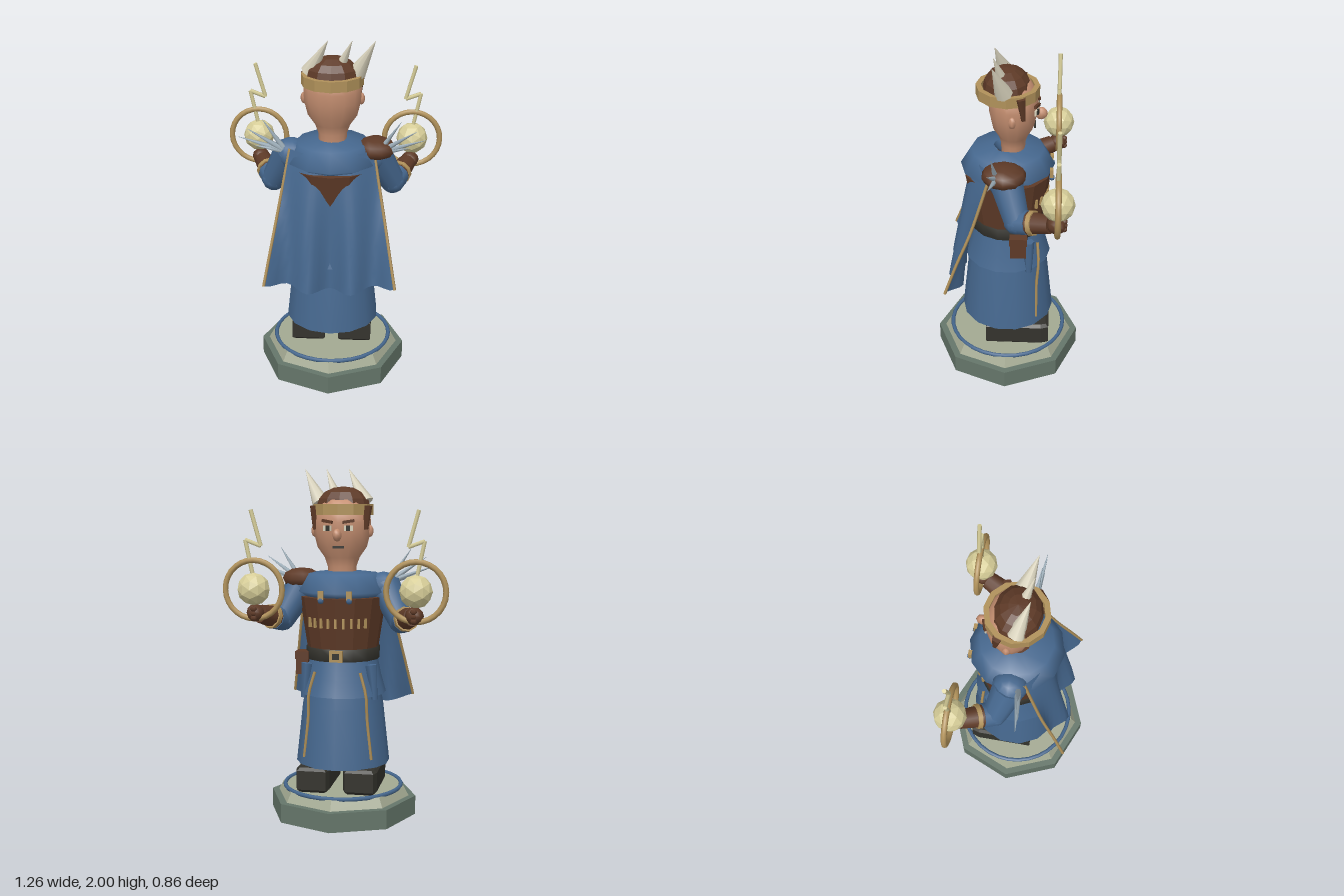
import * as THREE from 'three';

const mat = (name, color) => Object.assign(new THREE.MeshStandardMaterial({ color }), { name });
const blue = mat('blue cloth', 0x46688f);
blue.side = THREE.DoubleSide;
const brown = mat('brown leather', 0x5e3a27), skin = mat('skin', 0xc48e70);
const gold = mat('gold', 0xb0915a), cream = mat('pale glow', 0xd6cd98);
const bone = mat('bone', 0xd8d2bc), silver = mat('silver', 0x9fb0bb);
const dark = mat('dark leather', 0x34332d), stone = mat('stone', 0x65766a);
const paleStone = mat('pale stone', 0xa3a992);

const V = (x, y, z) => new THREE.Vector3(x, y, z);
const flat = (g) => {
  const f = g.index ? g.toNonIndexed() : g;
  f.computeVertexNormals();
  return f;
};

export function createModel() {
  const root = new THREE.Group();
  const add = (name, geo, material, x = 0, y = 0, z = 0) => {
    const m = new THREE.Mesh(geo, material);
    m.name = name;
    m.position.set(x, y, z);
    root.add(m);
    return m;
  };
  const box = (name, w, h, d, material, x, y, z) => add(name, new THREE.BoxGeometry(w, h, d), material, x, y, z);
  // Tapered rod from a (radius ra) to b (radius rb)
  const rod = (name, a, b, ra, rb, material, seg = 8) => {
    const m = add(name, new THREE.CylinderGeometry(rb, ra, a.distanceTo(b), seg), material);
    m.position.copy(a).lerp(b, 0.5);
    m.quaternion.setFromUnitVectors(V(0, 1, 0), b.clone().sub(a).normalize());
    return m;
  };
  const ball = (name, rx, ry, rz, material, x, y, z, w = 10, h = 7) => {
    const m = add(name, new THREE.SphereGeometry(1, w, h), material, x, y, z);
    m.scale.set(rx, ry, rz);
    return m;
  };
  const lathe = (name, pts, material, seg = 14) =>
    add(name, new THREE.LatheGeometry(pts.map((p) => new THREE.Vector2(...p)), seg), material);

  // Octagonal plinth
  add('plinth', flat(new THREE.CylinderGeometry(0.43, 0.43, 0.11, 8)), stone, 0, 0.055, 0);
  add('plinthTop', flat(new THREE.CylinderGeometry(0.36, 0.39, 0.055, 8)), paleStone, 0, 0.1375, 0);
  add('plinthRing', new THREE.TorusGeometry(0.342, 0.012, 6, 32), blue, 0, 0.167, 0).rotation.x = Math.PI / 2;

  // Boots: extruded rounded outline
  const bootShape = new THREE.Shape();
  bootShape.moveTo(-0.07, -0.17).lineTo(0.07, -0.17).lineTo(0.08, -0.14).lineTo(0.08, 0.17)
    .lineTo(-0.08, 0.17).lineTo(-0.08, -0.14).closePath();
  const bootGeo = new THREE.ExtrudeGeometry(bootShape, {
    depth: 0.11, bevelEnabled: true, bevelSize: 0.017, bevelThickness: 0.017, bevelSegments: 1,
  });
  bootGeo.rotateX(-Math.PI / 2);
  bootGeo.rotateY(Math.PI);
  for (const s of [-1, 1]) {
    add('boot', bootGeo, dark, s * 0.137, 0.185, -0.067);
    rod('trouserLeg', V(s * 0.137, 0.28, 0.03), V(s * 0.11, 0.6, 0), 0.085, 0.08, brown);
  }

  // Robe skirts, belt and vest
  lathe('robeSkirt', [[0.272, 0.31], [0.235, 0.65], [0.19, 0.9]], blue);
  lathe('tunicSkirt', [[0.25, 0.72], [0.222, 0.82], [0.196, 0.95]], blue);
  lathe('belt', [[0.19, 0.92], [0.212, 0.92], [0.214, 0.99], [0.19, 0.99]], dark);
  add('vest', flat(new THREE.CylinderGeometry(0.25, 0.205, 0.3, 14)), brown, 0, 1.13, 0);
  lathe('mantle', [[0.19, 1.27], [0.215, 1.28], [0.265, 1.31], [0.205, 1.41], [0.08, 1.425]], blue, 12);

  // Belt buckle, pouch, hanging sheaths and robe trim
  box('buckle', 0.075, 0.065, 0.025, gold, 0, 0.955, -0.216);
  box('buckleCentre', 0.04, 0.032, 0.008, dark, 0, 0.955, -0.231);
  box('pouch', 0.07, 0.12, 0.09, brown, 0.22, 0.89, -0.07);
  box('pouchFlap', 0.08, 0.045, 0.1, brown, 0.22, 0.94, -0.07);
  for (const s of [-1, 1]) {
    rod('sheath', V(s * 0.205, 0.7, -0.13), V(s * 0.185, 0.9, -0.125), 0.018, 0.036, blue, 6);
    const trim = new THREE.CatmullRomCurve3([
      V(s * 0.13, 0.86, -0.178), V(s * 0.165, 0.73, -0.187), V(s * 0.17, 0.6, -0.178), V(s * 0.195, 0.36, -0.178)]);
    add('robeTrim', new THREE.TubeGeometry(trim, 10, 0.009, 5), gold);
    box('mantleClasp', 0.03, 0.05, 0.02, gold, s * 0.08, 1.3, -0.248);
    ball('claspStud', 0.018, 0.018, 0.018, blue, s * 0.08, 1.27, -0.25, 6, 4);
  }
  for (let i = -4; i <= 4; i++) {
    const a = i * 0.19;
    const bar = box('vestLoop', 0.012, 0.055, 0.018, gold, -Math.sin(a) * 0.228, 1.14, -Math.cos(a) * 0.228);
    bar.rotation.y = a;
  }

  // Cape: u runs across from -1 to 1, t runs down from 0 to 1
  const capePoint = (u, t) => {
    const x = u * THREE.MathUtils.lerp(0.235, 0.37, t);
    const y = THREE.MathUtils.lerp(1.385, 0.6 + 0.05 * u * u, t);
    const z = THREE.MathUtils.lerp(0.2 - 0.12 * u * u, 0.295, Math.pow(t, 0.85));
    return V(x, y, z - 0.048 * t * Math.cos((2 * Math.PI * x) / 0.245));
  };
  const capeGeo = new THREE.PlaneGeometry(2, 1, 24, 10);
  const cp = capeGeo.attributes.position;
  for (let i = 0; i < cp.count; i++) {
    const p = capePoint(cp.getX(i), 0.5 - cp.getY(i));
    cp.setXYZ(i, p.x, p.y, p.z);
  }
  capeGeo.computeVertexNormals();
  add('cape', capeGeo, blue);
  for (const u of [-1, 1]) {
    const edge = new THREE.CatmullRomCurve3([0, 0.25, 0.5, 0.75, 1].map((t) => capePoint(u, t)));
    add('capeTrim', new THREE.TubeGeometry(edge, 12, 0.009, 5), gold);
  }

  // Head
  const head = lathe('head', [[0.08, 1.39], [0.083, 1.45], [0.1, 1.5], [0.142, 1.56], [0.162, 1.64],
    [0.165, 1.7], [0.158, 1.76], [0.1, 1.83], [0, 1.85]], skin, 14);
  head.scale.z = 0.82;
  head.position.z = -0.03;
  ball('nose', 0.026, 0.036, 0.036, skin, 0, 1.63, -0.182, 8, 6);
  box('mouth', 0.065, 0.012, 0.009, dark, 0, 1.562, -0.15);
  for (const s of [-1, 1]) {
    const yaw = s * 0.35;
    box('eyeWhite', 0.05, 0.03, 0.009, bone, s * 0.06, 1.668, -0.159).rotation.y = -yaw;
    box('pupil', 0.022, 0.03, 0.009, dark, s * 0.057, 1.668, -0.165).rotation.y = -yaw;
    const brow = box('brow', 0.065, 0.016, 0.014, brown, s * 0.06, 1.705, -0.161);
    brow.rotation.set(0, -yaw, s * 0.15);
    ball('ear', 0.02, 0.035, 0.022, skin, s * 0.16, 1.65, -0.03, 6, 5);
    rod('sideburn', V(s * 0.145, 1.66, -0.09), V(s * 0.15, 1.79, -0.075), 0.014, 0.03, brown, 5);
  }

  // Hair, circlet and bone crown spikes
  add('hair', flat(new THREE.SphereGeometry(1, 12, 8)), brown, 0, 1.79, 0.005).scale.set(0.155, 0.11, 0.13);
  const circlet = lathe('circlet', [[0.145, 1.74], [0.174, 1.74], [0.174, 1.8], [0.145, 1.8], [0.145, 1.74]], gold, 12);
  circlet.geometry = flat(circlet.geometry);
  [[-0.125, 0.05, -0.02], [0.03, 0.04, 0.11], [0.135, 0.05, 0.235]].forEach(([x, r, tip]) =>
    rod('crownSpike', V(x, 1.81, 0.015), V(tip, 2, 0.07), r, 0.001, bone, 8));

  // One leather pauldron, on the left shoulder
  ball('pauldron', 0.115, 0.062, 0.125, brown, 0.245, 1.375, 0.01, 10, 6);

  for (const s of [-1, 1]) {
    const P = (x, y, z) => V(s * x, y, z);
    // Shoulder spikes
    [[0.52, 1.45, 0.08], [0.47, 1.5, 0.085], [0.385, 1.55, 0.07], [0.43, 1.4, 0.08]].forEach((t) =>
      rod('shoulderSpike', P(0.26, 1.36, 0.05), P(...t), 0.02, 0.001, silver, 6));

    // Sleeve, bracer and fist
    const elbow = P(0.345, 1.145, -0.065), hand = P(0.445, 1.2, -0.28);
    ball('shoulder', 0.095, 0.09, 0.1, blue, s * 0.235, 1.33, 0);
    rod('sleeve', P(0.24, 1.34, 0), elbow, 0.095, 0.072, blue, 10);
    ball('elbow', 0.073, 0.07, 0.073, blue, elbow.x, elbow.y, elbow.z);
    const at = (t) => elbow.clone().lerp(hand, t);
    rod('sleeveCuff', elbow, at(0.3), 0.07, 0.07, blue, 10);
    rod('bracer', at(0.2), at(0.85), 0.067, 0.052, brown, 10);
    rod('bracerBand', at(0.36), at(0.46), 0.072, 0.07, gold, 10);
    ball('fist', 0.052, 0.05, 0.055, brown, hand.x, hand.y, hand.z, 8, 6);
    for (let i = 0; i < 3; i++) {
      ball('knuckle', 0.02, 0.016, 0.02, brown, s * 0.445, 1.175 + i * 0.025, -0.32, 6, 4);
    }

    // Orb, hoop and zigzag bolt
    add('orb', flat(new THREE.IcosahedronGeometry(0.092, 1)), cream, s * 0.453, 1.333, -0.285);
    add('hoop', new THREE.TorusGeometry(0.163, 0.016, 8, 28), gold, s * 0.453, 1.33, -0.285);
    const bolt = [[0.455, 1.4], [0.498, 1.605], [0.41, 1.572], [0.465, 1.77]].map(([x, y]) => P(x, y, -0.283));
    for (let i = 0; i < 3; i++) rod('bolt', bolt[i], bolt[i + 1], 0.012, 0.012, cream, 6);
  }
  return root;
}
